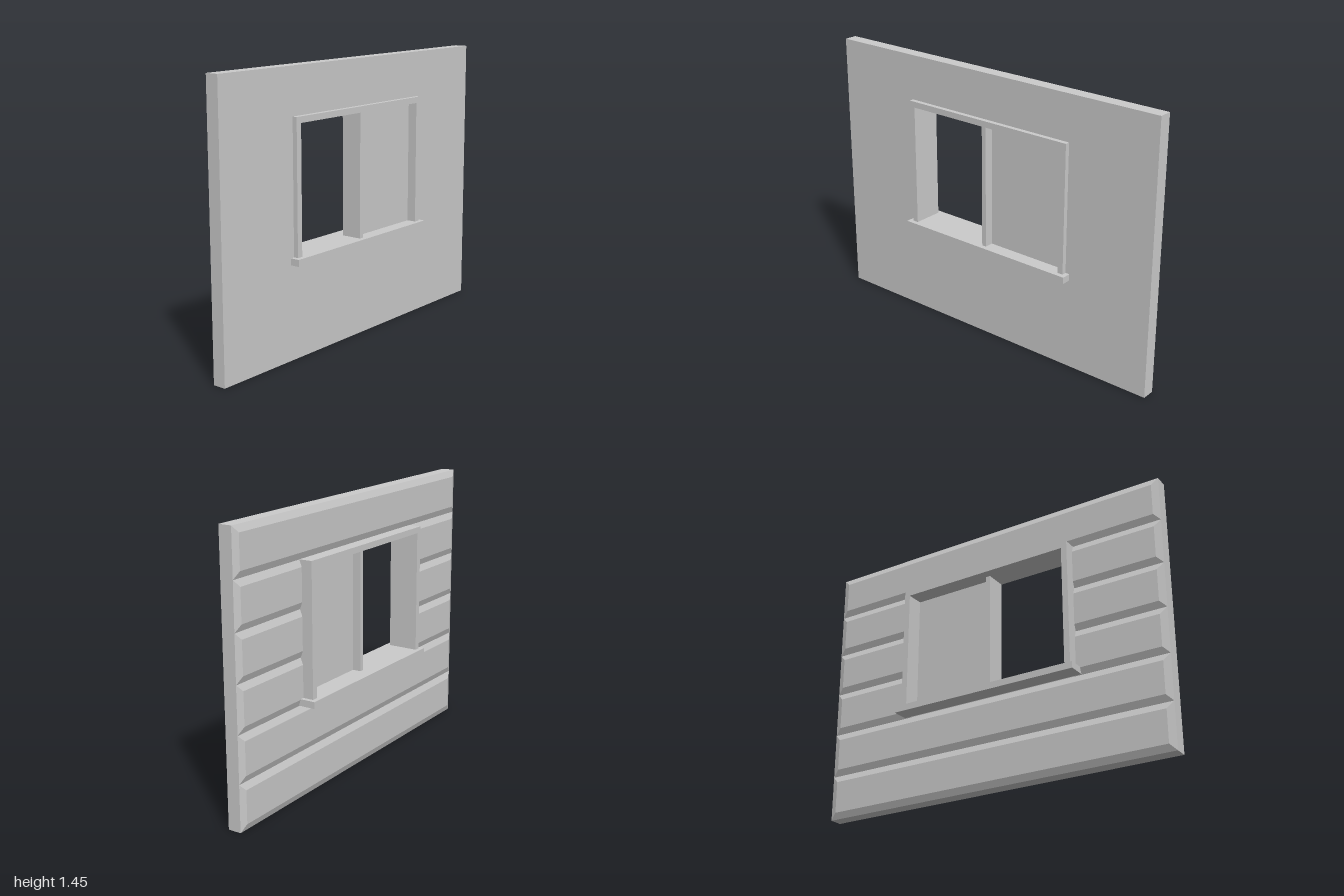
import * as THREE from 'three';

const mat = new THREE.MeshStandardMaterial({ color: 0xcccccc, flatShading: true });

export function createModel() {
  const model = new THREE.Group();

  const add = (name, geometry) => {
    const mesh = new THREE.Mesh(geometry, mat);
    mesh.name = name;
    model.add(mesh);
    return mesh;
  };

  // Box given by its limits on each axis
  const box = (name, x0, x1, y0, y1, z0, z1) => {
    const g = new THREE.BoxGeometry(x1 - x0, y1 - y0, z1 - z0);
    g.translate((x0 + x1) / 2, (y0 + y1) / 2, (z0 + z1) / 2);
    return add(name, g);
  };

  // Wall slab with the window opening cut through
  const H = 1.445, backX = -0.015, frontX = 0.055;
  const shape = new THREE.Shape();
  shape.moveTo(-1, 0).lineTo(1, 0).lineTo(1, H).lineTo(-1, H).closePath();
  const hole = new THREE.Path();
  hole.moveTo(-0.49, 0.5).lineTo(-0.49, 1.19).lineTo(0.49, 1.19).lineTo(0.49, 0.5).closePath();
  shape.holes.push(hole);
  const slab = new THREE.ExtrudeGeometry(shape, { depth: frontX - backX, bevelEnabled: false });
  slab.rotateY(Math.PI / 2).translate(backX, 0, 0);
  add('wall', slab);

  // Siding board: the outer face is inset to bevel its long edges and its free ends
  const faceX = -0.028, inset = 0.035;
  const board = (y0, y1, z0, z1) => {
    const g = new THREE.BoxGeometry(1, 1, 1);
    const p = g.attributes.position;
    for (let i = 0; i < p.count; i++) {
      const outer = p.getX(i) < 0;
      const cut = outer ? inset : 0;
      const y = p.getY(i) < 0 ? y0 + cut : y1 - cut;
      let z = p.getZ(i) < 0 ? z0 : z1;
      if (Math.abs(z) === 1) z -= Math.sign(z) * cut;
      p.setXYZ(i, outer ? faceX : backX, y, z);
    }
    g.computeVertexNormals();
    add('sidingBoard', g);
  };
  const rows = 6, rowH = H / rows;
  for (let r = 0; r < rows; r++) {
    const y0 = r * rowH, y1 = y0 + rowH;
    if (r >= 2 && r <= 4) {
      // rows interrupted by the window
      board(y0, y1, -1, -0.49);
      board(y0, y1, 0.49, 1);
    } else board(y0, y1, -1, 1);
  }

  // Window frame
  const f0 = -0.085, f1 = 0.08, sillTop = 0.52, headBottom = 1.173;
  box('windowHead', f0, f1, headBottom, 1.205, -0.507, 0.507);
  box('rightJamb', f0, f1, sillTop, headBottom, -0.507, -0.475);
  box('leftJamb', f0, f1, sillTop, headBottom, 0.475, 0.507);
  box('windowSill', -0.108, 0.105, 0.485, sillTop, -0.53, 0.53);

  // Centre post and the closed pane beside it
  box('centrePost', -0.035, 0.078, sillTop, headBottom, -0.01, 0.015);
  box('closedPane', 0.01, 0.03, sillTop, headBottom, -0.475, -0.01);

  return model;
}
